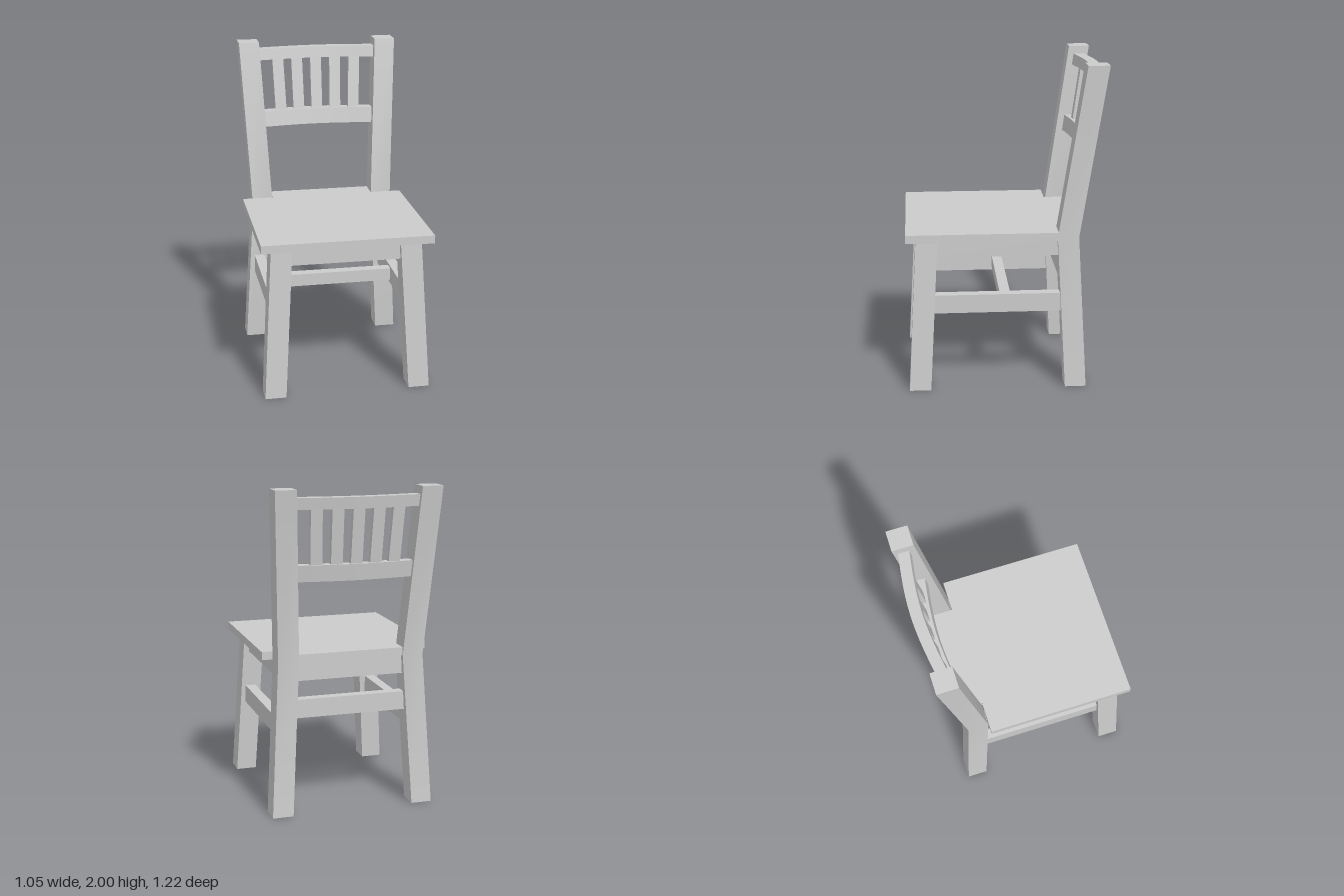
import * as THREE from 'three';
import { toCreasedNormals } from 'three/addons/utils/BufferGeometryUtils.js';

const material = new THREE.MeshStandardMaterial({ color: 0xcccccc });

// Solid through a list of four-cornered sections, each counter-clockwise seen from the far end
function loft(sections) {
  const pos = [];
  const quad = (a, b, c, d) => pos.push(...a, ...b, ...c, ...a, ...c, ...d);
  for (let k = 0; k < sections.length - 1; k++) {
    const a = sections[k], b = sections[k + 1];
    for (let i = 0; i < 4; i++) {
      const j = (i + 1) % 4;
      quad(a[i], a[j], b[j], b[i]);
    }
  }
  const first = sections[0], last = sections[sections.length - 1];
  quad(first[3], first[2], first[1], first[0]);
  quad(last[0], last[1], last[2], last[3]);
  const geo = new THREE.BufferGeometry();
  geo.setAttribute('position', new THREE.Float32BufferAttribute(pos, 3));
  return toCreasedNormals(geo, 0.3);
}

// Horizontal rectangle at height y, centred on x, z
function level(x, y, z, hw, hd) {
  return [[x - hw, y, z + hd], [x + hw, y, z + hd], [x + hw, y, z - hd], [x - hw, y, z - hd]];
}

// Front line of the leaning backrest, bowed backwards in the middle
const backLine = (y) => -0.315 - 0.152 * (y - 0.95);
const bow = (x) => 0.037 * Math.cos((Math.PI / 2) * (x / 0.38));

export function createModel() {
  const chair = new THREE.Group();
  chair.name = 'chair';
  const add = (name, geo) => {
    const mesh = new THREE.Mesh(geo, material);
    mesh.name = name;
    chair.add(mesh);
    return mesh;
  };
  const bar = (name, x0, x1, y0, y1, z0, z1) =>
    add(name, new THREE.BoxGeometry(x1 - x0, y1 - y0, z1 - z0))
      .position.set((x0 + x1) / 2, (y0 + y1) / 2, (z0 + z1) / 2);

  // Seat board with a tongue reaching back between the posts
  const outline = [[-0.527, -0.607], [0.527, -0.607], [0.527, 0.313], [0.33, 0.313],
    [0.33, 0.445], [-0.33, 0.445], [-0.33, 0.313], [-0.527, 0.313]];
  const seatShape = new THREE.Shape(outline.map(([x, y]) => new THREE.Vector2(x, y)));
  const seat = new THREE.ExtrudeGeometry(seatShape, { depth: 0.05, bevelEnabled: false });
  seat.rotateX(-Math.PI / 2);
  add('seat', seat).position.y = 0.95;

  for (const s of [1, -1]) {
    const side = s > 0 ? 'left' : 'right';
    // Splayed front legs
    add(side + 'FrontLeg', loft([
      level(s * 0.45, 0, 0.532, 0.065, 0.066),
      level(s * 0.396, 0.95, 0.48, 0.065, 0.066),
    ]));
    // Back legs bend at the seat and run up as the backrest posts
    add(side + 'BackLeg', loft([
      level(s * 0.45, 0, -0.429, 0.065, 0.065),
      level(s * 0.396, 0.95, -0.38, 0.065, 0.065),
      level(s * 0.447, 2, -0.54, 0.065, 0.065),
    ]));
    // Side apron and stretcher
    const span = (a, b) => (s > 0 ? [a, b] : [-b, -a]);
    bar(side + 'Apron', ...span(0.365, 0.43), 0.83, 0.95, -0.36, 0.46);
    bar(side + 'Stretcher', ...span(0.39, 0.455), 0.48, 0.595, -0.37, 0.48);
  }

  // Cross members under the seat
  bar('frontApron', -0.37, 0.37, 0.83, 0.95, 0.45, 0.515);
  bar('backApron', -0.37, 0.37, 0.83, 0.95, -0.415, -0.35);
  bar('backStretcher', -0.38, 0.38, 0.6, 0.715, -0.425, -0.36);
  bar('middleStretcher', -0.4, 0.4, 0.5, 0.58, -0.032, 0.033);

  // Bowed backrest rails
  function backRail(name, y0, y1, end) {
    const sections = [];
    for (let i = 0; i <= 16; i++) {
      const x = -end + (2 * end * i) / 16;
      const f0 = backLine(y0) - 0.038 - bow(x);
      const f1 = backLine(y1) - 0.038 - bow(x);
      sections.push([[x, y0, f0], [x, y0, f0 - 0.067], [x, y1, f1 - 0.067], [x, y1, f1]]);
    }
    add(name, loft(sections));
  }
  backRail('topRail', 1.88, 1.95, 0.395);
  backRail('lowerRail', 1.45, 1.55, 0.375);

  // Slats fanning out slightly towards the top
  for (let i = -2; i <= 2; i++) {
    const section = (x, y) => level(x, y, backLine(y) - 0.073 - bow(x), 0.036, 0.017);
    add('slat' + (i + 3), loft([section(i * 0.121, 1.54), section(i * 0.127, 1.89)]));
  }

  return chair;
}
